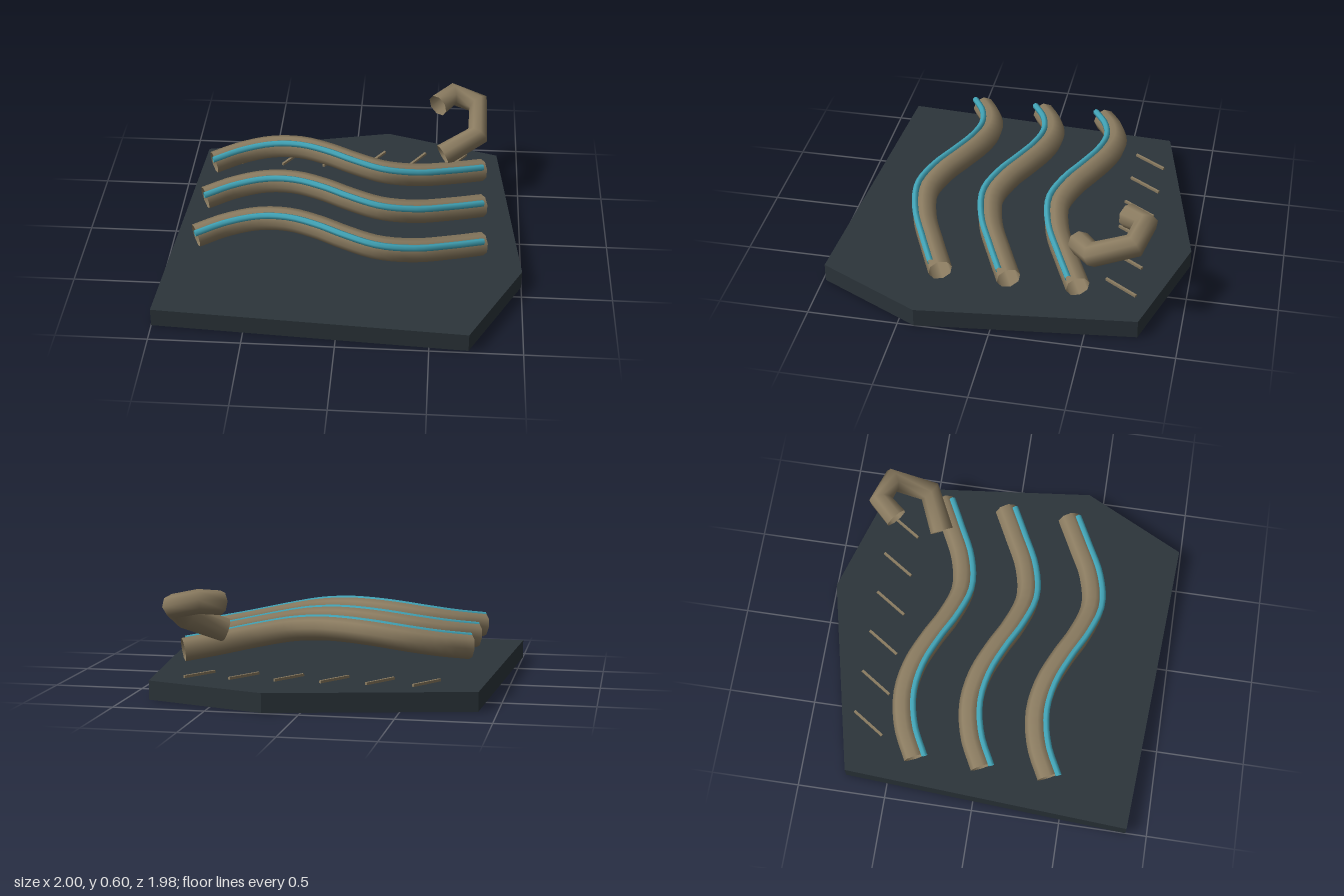
import * as THREE from 'three';

const material = (name, color, side = THREE.FrontSide) => {
  const m = new THREE.MeshStandardMaterial({ color, side });
  m.name = name;
  return m;
};

const curveThrough = (points) =>
  new THREE.CatmullRomCurve3(points.map((p) => new THREE.Vector3(...p)));

export function createModel() {
  const slate = material('slate', 0x2c353b);
  const tan = material('tan', 0x8a7b60, THREE.DoubleSide);
  const teal = material('teal', 0x42a5b8, THREE.DoubleSide);

  const model = new THREE.Group();
  model.name = 'pipeSlab';
  const add = (name, geometry, mat, parent = model) => {
    const mesh = new THREE.Mesh(geometry, mat);
    mesh.name = name;
    parent.add(mesh);
    return mesh;
  };

  // Irregular six-sided slab, outline given as x, z
  const outline = [[-0.9, -0.74], [0.2, -0.99], [0.87, -0.78], [1, 0.41], [0.71, 0.985], [-1, 0.88]];
  const shape = new THREE.Shape(outline.map(([x, z]) => new THREE.Vector2(x, -z)));
  const slab = new THREE.ExtrudeGeometry(shape, { depth: 0.105, bevelEnabled: false });
  add('slab', slab.rotateX(-Math.PI / 2), slate);

  // Three wavy open pipes, each with a thin strand along its upper front
  const wave = curveThrough([
    [-0.81, 0.268, 0.035], [-0.65, 0.293, -0.045], [-0.47, 0.32, -0.08], [-0.3, 0.338, -0.055],
    [-0.13, 0.342, 0.015], [0.02, 0.335, 0.09], [0.2, 0.315, 0.143], [0.4, 0.28, 0.11],
    [0.6, 0.244, 0.02], [0.775, 0.217, -0.065],
  ]);
  const pipe = new THREE.TubeGeometry(wave, 32, 0.066, 8);
  const strand = new THREE.TubeGeometry(wave, 32, 0.019, 6).translate(0.003, 0.051, 0.052);
  for (const z of [-0.375, 0, 0.375]) {
    const group = new THREE.Group();
    group.name = 'wavyPipe';
    group.position.z = z;
    add('pipe', pipe, tan, group);
    add('strand', strand, teal, group);
    model.add(group);
  }

  // Kinked hook: one ring of vertices per path point
  const hook = curveThrough([
    [0.54, 0.33, -0.41], [0.74, 0.415, -0.51], [0.74, 0.505, -0.725],
    [0.59, 0.54, -0.765], [0.5, 0.52, -0.66],
  ]);
  hook.getPointAt = hook.getPoint;
  hook.getTangentAt = hook.getTangent;
  add('hook', new THREE.TubeGeometry(hook, 4, 0.067, 8), tan);

  // Row of slanted dashes just above the slab
  const dash = new THREE.BoxGeometry(0.215, 0.014, 0.014);
  for (let i = 0; i < 6; i++) {
    const mesh = add('dash', dash, tan);
    mesh.position.set(-0.615 + i * 0.2475, 0.126, -0.653);
    mesh.rotation.y = Math.atan2(0.18, 0.12);
  }

  return model;
}
